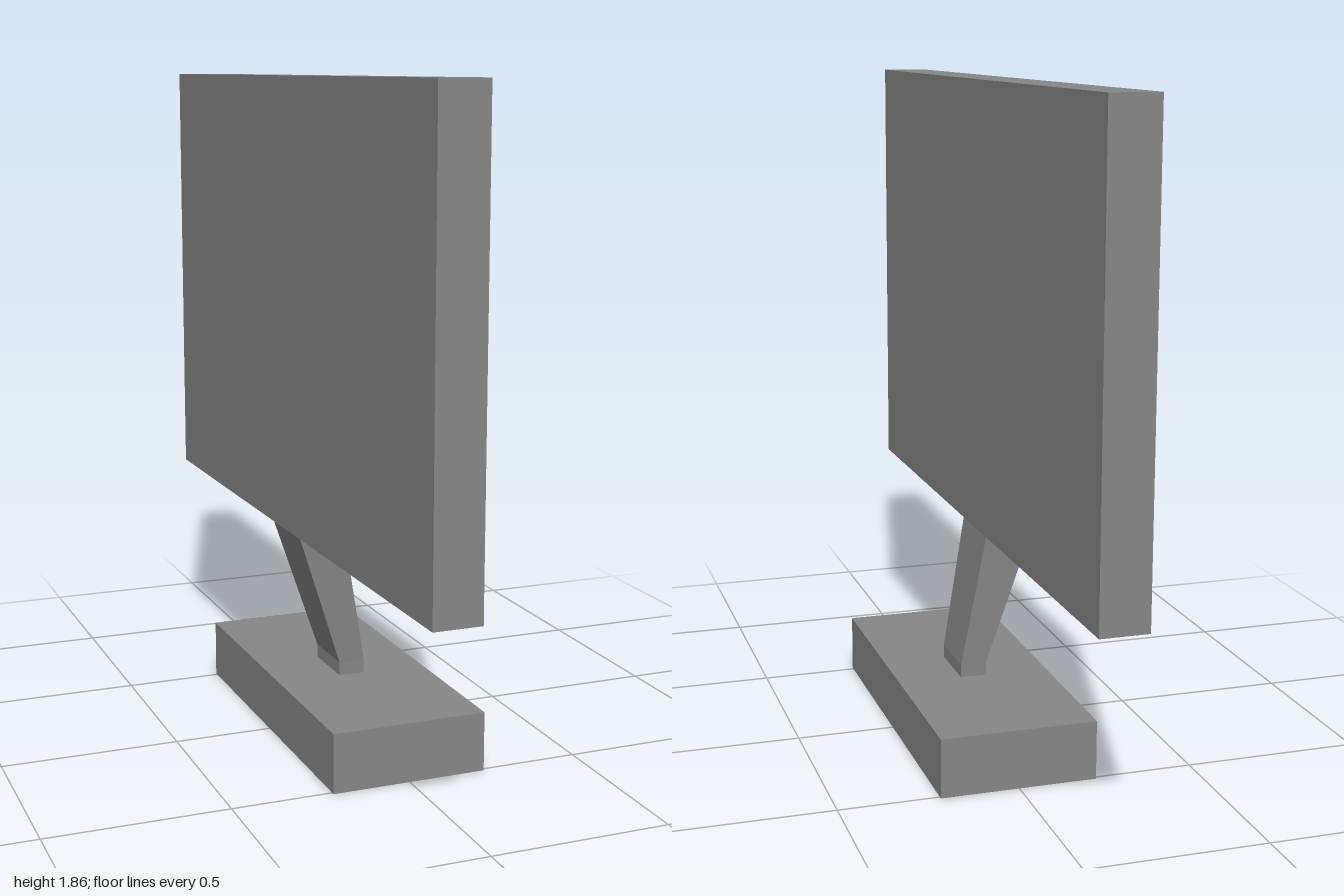
import * as THREE from 'three';

const material = new THREE.MeshStandardMaterial({ color: 0x878787, flatShading: true });

// Box given by its minimum and maximum corners
function block(name, [x0, y0, z0], [x1, y1, z1]) {
  const geometry = new THREE.BoxGeometry(x1 - x0, y1 - y0, z1 - z0);
  geometry.translate((x0 + x1) / 2, (y0 + y1) / 2, (z0 + z1) / 2);
  const mesh = new THREE.Mesh(geometry, material);
  mesh.name = name;
  return mesh;
}

// Closed loft through horizontal rectangles, listed from bottom to top
function loft(name, sections) {
  const positions = [];
  const indices = [];
  for (const { y, x0, x1, halfZ } of sections) {
    positions.push(x0, y, halfZ, x1, y, halfZ, x1, y, -halfZ, x0, y, -halfZ);
  }
  for (let s = 0; s < sections.length - 1; s++) {
    for (let i = 0; i < 4; i++) {
      const a = s * 4 + i;
      const b = s * 4 + ((i + 1) % 4);
      indices.push(a, b, b + 4, a, b + 4, a + 4);
    }
  }
  const t = (sections.length - 1) * 4;
  indices.push(0, 2, 1, 0, 3, 2, t, t + 1, t + 2, t, t + 2, t + 3);

  const indexed = new THREE.BufferGeometry();
  indexed.setAttribute('position', new THREE.Float32BufferAttribute(positions, 3));
  indexed.setIndex(indices);
  const geometry = indexed.toNonIndexed();
  geometry.computeVertexNormals();
  const mesh = new THREE.Mesh(geometry, material);
  mesh.name = name;
  return mesh;
}

export function createModel() {
  const model = new THREE.Group();
  model.name = 'monitor';

  // Heavy foot and thin display panel
  model.add(block('base', [-0.22, 0, -0.51], [0.22, 0.167, 0.51]));
  model.add(block('screen', [-0.163, 0.588, -1], [-0.03, 1.864, 1]));

  // Short upright collar, then a neck leaning and widening towards the screen
  model.add(loft('neck', [
    { y: 0.167, x0: -0.037, x1: 0.038, halfZ: 0.09 },
    { y: 0.205, x0: -0.037, x1: 0.038, halfZ: 0.09 },
    { y: 0.588, x0: -0.163, x1: -0.03, halfZ: 0.11 },
  ]));

  return model;
}
